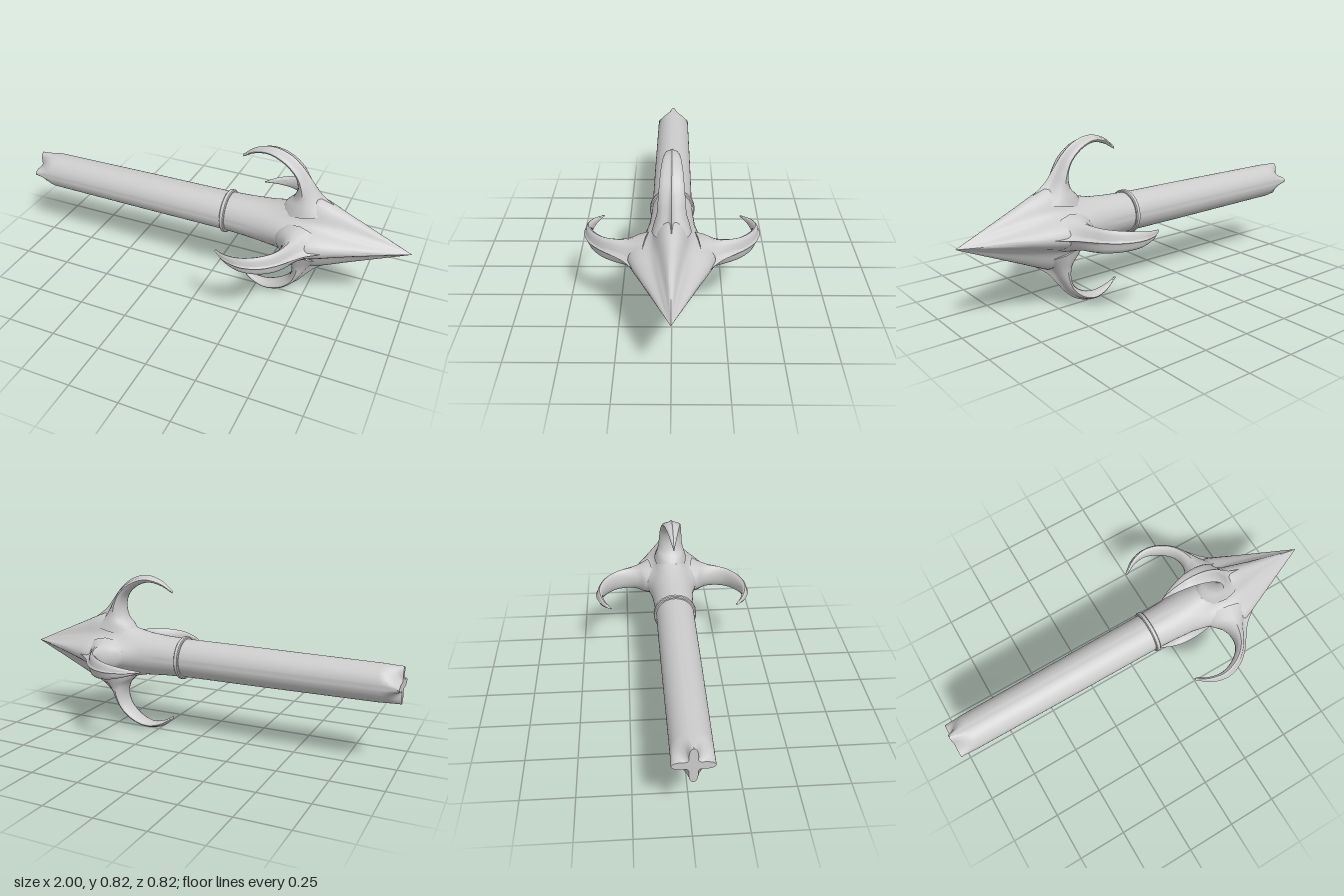
import * as THREE from 'three';
import { toCreasedNormals } from 'three/addons/utils/BufferGeometryUtils.js';

const AXIS_Y = 0.41;
const material = new THREE.MeshStandardMaterial({ color: 0xcccccc });

// Skin a list of closed rings (arrays of Vector3), capping both ends.
function loft(rings, crease) {
  const n = rings[0].length, pos = [], idx = [];
  rings.forEach(r => r.forEach(p => pos.push(p.x, p.y, p.z)));
  for (let i = 0; i < rings.length - 1; i++) {
    for (let j = 0; j < n; j++) {
      const a = i * n + j, d = i * n + (j + 1) % n;
      idx.push(a, d, d + n, a, d + n, a + n);
    }
  }
  [rings[0], rings[rings.length - 1]].forEach((ring, end) => {
    const c = ring.reduce((s, p) => s.add(p), new THREE.Vector3()).divideScalar(n);
    const ci = pos.length / 3, base = end ? (rings.length - 1) * n : 0;
    pos.push(c.x, c.y, c.z);
    for (let j = 0; j < n; j++) {
      const a = base + j, b = base + (j + 1) % n;
      end ? idx.push(ci, a, b) : idx.push(ci, b, a);
    }
  });
  const g = new THREE.BufferGeometry();
  g.setAttribute('position', new THREE.Float32BufferAttribute(pos, 3));
  g.setIndex(idx);
  return toCreasedNormals(g, crease);
}

// Four-pointed section around the x axis: ridge radius, valley radius, ridge sharpness.
function starRing(x, ridge, valley, power, n = 64) {
  return Array.from({ length: n }, (_, j) => {
    const t = (j / n) * Math.PI * 2;
    const r = valley + (ridge - valley) * Math.pow(Math.abs(Math.cos(2 * t)), power);
    return new THREE.Vector3(x, r * Math.cos(t), r * Math.sin(t));
  });
}

function part(name, geometry) {
  const m = new THREE.Mesh(geometry, material);
  m.name = name;
  return m;
}

// Shaft whose tail is pinched into a four-pointed star
function shaft() {
  const rings = [];
  for (let i = 0; i <= 10; i++) {
    const k = 1 - i / 10;
    rings.push(starRing(-1 + 0.1 * (i / 10), 0.09, 0.09 - 0.058 * k * k, 1.5 + 2 * k));
  }
  rings.push(starRing(-0.3, 0.095, 0.095, 2), starRing(0.11, 0.097, 0.097, 2));
  return loft(rings, 0.7);
}

// Neck swelling into a ridged spear point: x, ridge, valley, sharpness
function head() {
  const rows = [
    [0.09, 0.097, 0.097, 2], [0.2, 0.102, 0.102, 2], [0.3, 0.11, 0.11, 2],
    [0.38, 0.13, 0.117, 2], [0.44, 0.165, 0.124, 2], [0.5, 0.192, 0.126, 2],
    [0.56, 0.194, 0.122, 2.2], [0.62, 0.169, 0.108, 2.6], [0.7, 0.133, 0.087, 3.4],
    [0.8, 0.089, 0.06, 4.2], [0.9, 0.045, 0.031, 5], [1, 0.0005, 0.0004, 5],
  ];
  return loft(rows.map(r => starRing(...r)), 0.6);
}

// Curved barb swept from stations of outer edge, inner edge and half width
function hook() {
  const stations = [
    [0.66, 0.145, 0.36, 0.09, 0.088], [0.6, 0.182, 0.385, 0.135, 0.076],
    [0.55, 0.222, 0.425, 0.178, 0.065], [0.505, 0.277, 0.442, 0.235, 0.06],
    [0.46, 0.333, 0.428, 0.293, 0.055], [0.395, 0.385, 0.37, 0.346, 0.048],
    [0.31, 0.409, 0.295, 0.372, 0.037], [0.225, 0.388, 0.222, 0.358, 0.02],
    [0.16, 0.337, 0.163, 0.325, 0.002],
  ];
  const curve = f => new THREE.CatmullRomCurve3(stations.map(f));
  const outer = curve(s => new THREE.Vector3(s[0], s[1], s[4]));
  const inner = curve(s => new THREE.Vector3(s[2], s[3], 0));
  // half section: position from inner (0) to outer (1) edge, share of width
  const half = [[1, 0], [0.84, 0.15], [0.79, 0.3], [0.74, 0.6], [0.62, 0.88], [0.45, 1],
    [0.25, 0.88], [0.1, 0.6], [0.02, 0.3], [0, 0]];
  const section = [...half, ...half.slice(1, -1).reverse().map(([u, v]) => [u, -v])];
  const rings = [];
  for (let i = 0; i <= 40; i++) {
    const o = outer.getPoint(i / 40), n = inner.getPoint(i / 40);
    rings.push(section.map(([u, v]) => new THREE.Vector3(
      n.x + (o.x - n.x) * u, n.y + (o.y - n.y) * u, -v * o.z)));
  }
  return loft(rings, 0.7);
}

// Narrow collar with rounded rim
function collar() {
  const profile = [[0.09, 0.082], [0.104, 0.082], [0.109, 0.086], [0.109, 0.101], [0.104, 0.105], [0.09, 0.105]];
  const g = new THREE.LatheGeometry(profile.map(p => new THREE.Vector2(...p)), 48);
  g.rotateZ(-Math.PI / 2);
  return toCreasedNormals(g, 0.6);
}

export function createModel() {
  const model = new THREE.Group();
  model.name = 'grapplingBolt';
  const body = new THREE.Group();
  body.name = 'bolt';
  body.position.y = AXIS_Y;
  body.add(part('shaft', shaft()), part('spearHead', head()), part('collar', collar()));

  const hookGeometry = hook();
  ['topHook', 'frontHook', 'bottomHook', 'backHook'].forEach((name, i) => {
    const h = part(name, hookGeometry);
    h.rotation.x = (i * Math.PI) / 2;
    body.add(h);
  });
  model.add(body);
  return model;
}
